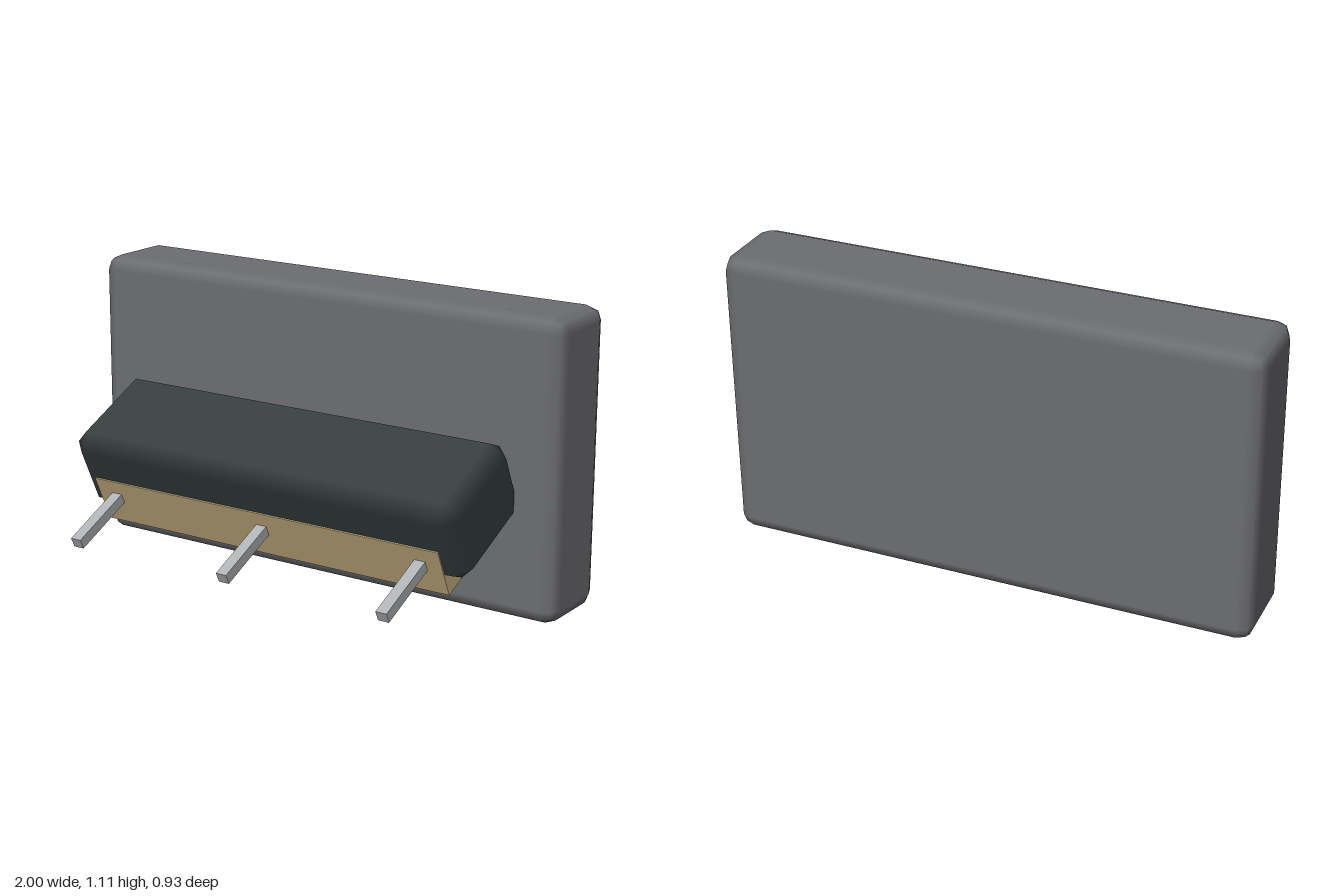
import * as THREE from 'three';
import { RoundedBoxGeometry } from 'three/addons/geometries/RoundedBoxGeometry.js';
import { ConvexGeometry } from 'three/addons/geometries/ConvexGeometry.js';

const flat = (name, color) => {
  const m = new THREE.MeshStandardMaterial({ color });
  m.name = name;
  return m;
};

// Box with one chamfer per edge; each corner keeps its flat face's normal for soft edges
function chamferBox(w, h, d, c) {
  const half = [w / 2, h / 2, d / 2];
  const points = [];
  for (const sx of [-1, 1]) for (const sy of [-1, 1]) for (const sz of [-1, 1]) {
    for (let axis = 0; axis < 3; axis++) {
      const p = [sx, sy, sz].map((s, i) => s * (half[i] - (i === axis ? 0 : c)));
      points.push(new THREE.Vector3(...p));
    }
  }
  const geo = new ConvexGeometry(points);
  const pos = geo.attributes.position;
  for (let i = 0; i < pos.count; i++) {
    const p = [pos.getX(i), pos.getY(i), pos.getZ(i)];
    const n = p.map((v, k) => (half[k] - Math.abs(v) < c / 2 ? Math.sign(v) : 0));
    geo.attributes.normal.setXYZ(i, ...n);
  }
  return geo;
}

export function createModel() {
  const grey = flat('slab grey', 0x6c6d70);
  const dark = flat('dark green grey', 0x353e3d);
  const tan = flat('tan', 0xcab385);
  const metal = flat('light metal', 0xb0b1b4);

  const model = new THREE.Group();
  const add = (parent, name, geo, mat, x, y, z) => {
    const mesh = new THREE.Mesh(geo, mat);
    mesh.name = name;
    mesh.position.set(x, y, z);
    parent.add(mesh);
  };

  // Upright back slab
  add(model, 'backSlab', new RoundedBoxGeometry(2, 1.11, 0.332, 1, 0.056), grey, 0, 0.555, -0.297);

  // Head tilted forward and down
  const head = new THREE.Group();
  head.name = 'tiltedHead';
  head.position.set(0, 0.446, 0.037);
  head.rotation.x = THREE.MathUtils.degToRad(25);
  model.add(head);
  add(head, 'headBody', chamferBox(1.668, 0.332, 0.447, 0.057), dark, 0, 0, 0);

  // Strip under the front edge, and the three prongs it carries
  add(head, 'lowerStrip', new THREE.BoxGeometry(1.505, 0.196, 0.114), tan, 0, -0.103, 0.172);
  for (const x of [-0.667, 0, 0.667]) {
    add(head, 'prong', new THREE.BoxGeometry(0.044, 0.04, 0.3), metal, x, -0.082, 0.348);
  }
  return model;
}
